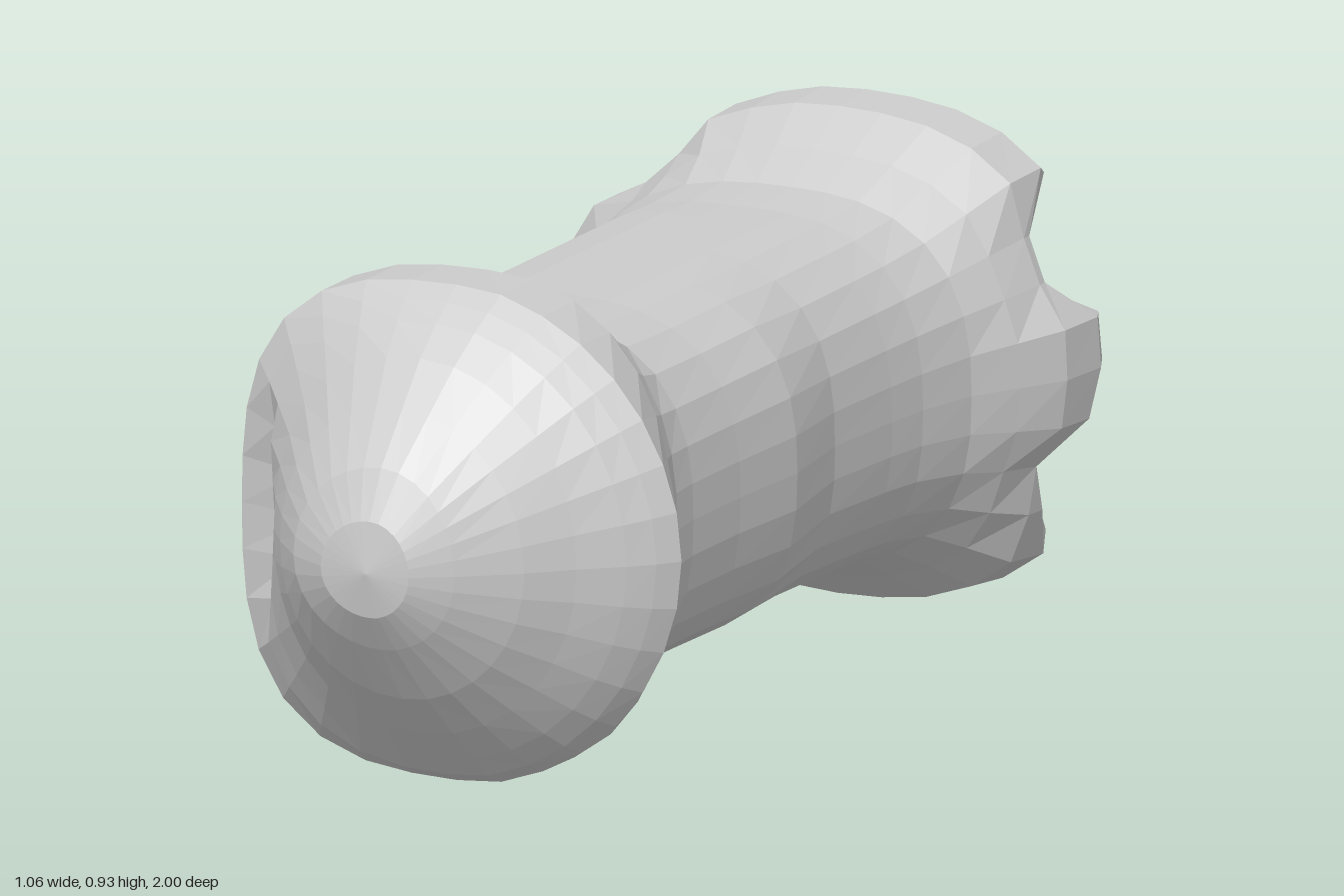
import * as THREE from 'three';

const SEG = 32;
const CX = 0.05, CY = 0.465;
const DEG = Math.PI / 180;

// smooth bump: 1 at the centre angle, 0 beyond the given width (degrees)
function bump(theta, centre, width) {
  let d = Math.abs(theta / DEG - centre) % 360;
  d = Math.min(d, 360 - d);
  return d >= width ? 0 : 0.5 + 0.5 * Math.cos(Math.PI * d / width);
}

// three gaps that split the socket rim into lobes
const gap = t => Math.min(1, bump(t, 28, 19) + bump(t, -25, 19) + bump(t, 142, 20));

// one cross-section: rounded outline, with its own squareness on each x side
function section([z, x0, x1, y0, y1, pL, pR, notch = 0, dent = 0]) {
  const pts = [];
  for (let j = 0; j < SEG; j++) {
    const t = (j / SEG) * Math.PI * 2;
    const c = Math.cos(t), s = Math.sin(t);
    const a = c < 0 ? CX - x0 : x1 - CX;
    const b = s < 0 ? CY - y0 : y1 - CY;
    // blend the squareness so the two halves meet evenly
    const p = THREE.MathUtils.lerp(pR, pL, THREE.MathUtils.smoothstep(-c, -0.35, 0.35));
    let r = 0;
    if (a > 0 && b > 0) r = Math.pow(Math.pow(Math.abs(c) / a, p) + Math.pow(Math.abs(s) / b, p), -1 / p);
    const g = notch * gap(t);
    r *= 1 - 0.13 * g;
    const zz = z + g * (-0.81 - z) * (z < -0.81 ? 1 : 0);
    pts.push([CX + r * c + dent * bump(t, 180, 36), CY + r * s, zz]);
  }
  return pts;
}

// skin a list of cross-sections running from +z to -z
function loft(sections) {
  const pos = [], idx = [];
  sections.forEach(s => section(s).forEach(p => pos.push(...p)));
  for (let i = 0; i < sections.length - 1; i++) {
    for (let j = 0; j < SEG; j++) {
      const k = (j + 1) % SEG;
      const a = i * SEG + j, b = i * SEG + k;
      const c = a + SEG, d = b + SEG;
      if (sections[i + 1][1] !== sections[i + 1][2]) idx.push(a, c, d);
      else idx.push(a, c, b);
      if (sections[i][1] !== sections[i][2] && sections[i + 1][1] !== sections[i + 1][2]) idx.push(a, d, b);
    }
  }
  const geo = new THREE.BufferGeometry();
  geo.setAttribute('position', new THREE.Float32BufferAttribute(pos, 3));
  geo.setIndex(idx);
  geo.computeVertexNormals();
  return geo;
}

export function createModel() {
  const group = new THREE.Group();
  group.name = 'limbSegment';
  const mat = new THREE.MeshStandardMaterial({ color: 0xcccccc, flatShading: true });
  const add = (name, sections) => {
    const mesh = new THREE.Mesh(loft(sections), mat);
    mesh.name = name;
    group.add(mesh);
  };

  // columns: z, x min, x max, y min, y max, squareness -x, squareness +x, gap, dent
  const shaftFront = [0.38, -0.27, 0.39, 0.13, 0.81, 4.5, 2.6];
  const shaftBack = [-0.4, -0.27, 0.38, 0.13, 0.8, 4.5, 2.6];

  // domed ball joint, flattened on the -x side, with a small pit
  add('ballJoint', [
    [1.0, CX, CX, CY, CY, 2, 2],
    [0.985, -0.05, 0.13, 0.38, 0.56, 2, 2],
    [0.94, -0.13, 0.2, 0.31, 0.65, 2, 2],
    [0.86, -0.2, 0.3, 0.2, 0.74, 2.1, 2],
    [0.79, -0.25, 0.37, 0.12, 0.82, 2.2, 2],
    [0.73, -0.31, 0.44, 0.06, 0.87, 2.4, 2, 0, 0.03],
    [0.69, -0.35, 0.48, 0.02, 0.9, 2.6, 1.95, 0, 0.12],
    [0.65, -0.39, 0.51, 0.0, 0.925, 2.9, 1.95],
    [0.53, -0.39, 0.43, 0.0, 0.925, 2.9, 2.3],
    [0.46, -0.34, 0.4, 0.06, 0.87, 3.3, 2.4],
    shaftFront,
  ]);

  // straight shaft with a flat -x side
  add('shaft', [
    shaftFront,
    [0.2, -0.27, 0.39, 0.13, 0.8, 4.5, 2.6],
    [0.0, -0.27, 0.4, 0.13, 0.8, 4.5, 2.6],
    [-0.2, -0.27, 0.37, 0.13, 0.8, 4.5, 2.6],
    shaftBack,
  ]);

  // flared socket: outside, lobed rim, then the hollow
  add('socket', [
    shaftBack,
    [-0.5, -0.32, 0.39, 0.13, 0.8, 3.4, 2.6],
    [-0.63, -0.39, 0.42, 0.12, 0.81, 2.6, 2.6],
    [-0.72, -0.45, 0.47, 0.07, 0.86, 2.1, 2.6, 0.3],
    [-0.81, -0.53, 0.52, 0.01, 0.92, 1.9, 2.6, 0.8],
    [-0.92, -0.53, 0.53, 0.0, 0.925, 1.9, 2.6, 1],
    [-0.98, -0.49, 0.5, 0.04, 0.89, 1.9, 2.6, 1],
    [-1.0, -0.44, 0.46, 0.08, 0.85, 1.9, 2.5, 1],
    [-0.97, -0.39, 0.41, 0.12, 0.81, 1.9, 2.4, 1],
    [-0.88, -0.36, 0.38, 0.13, 0.8, 1.9, 2.2, 0.9],
    [-0.78, -0.32, 0.35, 0.16, 0.77, 2, 2, 0.5],
    [-0.68, -0.24, 0.29, 0.23, 0.7, 2, 2],
    [-0.61, -0.13, 0.2, 0.32, 0.61, 2, 2],
    [-0.58, CX, CX, CY, CY, 2, 2],
  ]);

  return group;
}
